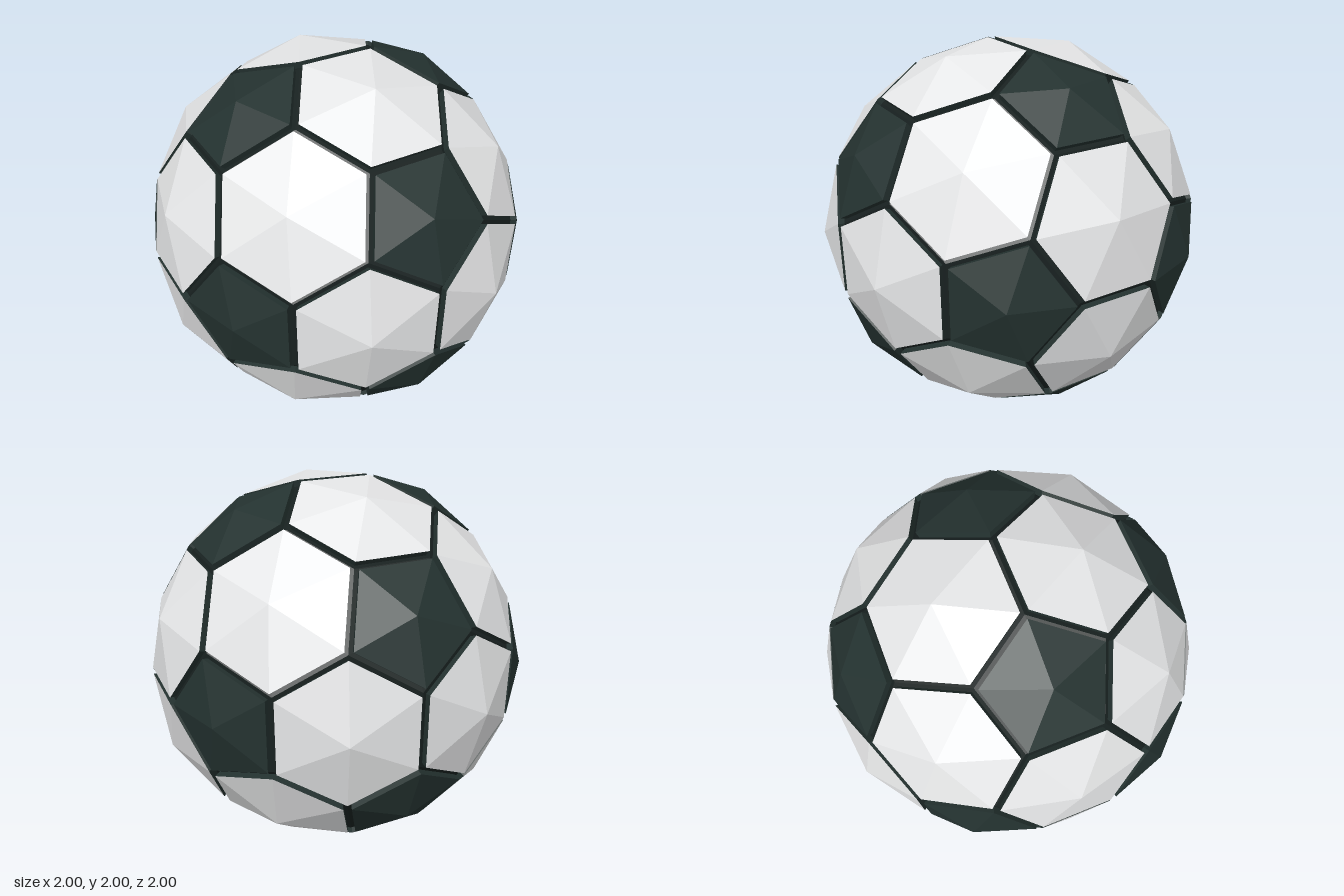
import * as THREE from 'three';

const GAP = 0.022;                    // half the seam width
const EDGE = 1 + GAP * 0.357;         // distance of the seam lines from the centre
const APEX = 1.043;                   // panel centres bulge out to this radius
const PHI = (1 + Math.sqrt(5)) / 2;

// The twelve icosahedron corners, which become the pentagon centres
function icosaCorners() {
  const s = EDGE / PHI, list = [];
  for (const a of [-s, s]) for (const b of [-EDGE, EDGE]) {
    list.push(new THREE.Vector3(0, a, b), new THREE.Vector3(a, b, 0), new THREE.Vector3(b, 0, a));
  }
  return list;
}

// Sort corners counter-clockwise as seen from outside
function ring(points) {
  const centre = points.reduce((c, p) => c.add(p), new THREE.Vector3()).divideScalar(points.length);
  const n = centre.clone().normalize();
  const u = points[0].clone().sub(centre).normalize();
  const v = n.clone().cross(u);
  const angle = p => { const d = p.clone().sub(centre); return Math.atan2(d.dot(v), d.dot(u)); };
  return { centre, n, corners: [...points].sort((p, q) => angle(p) - angle(q)) };
}

// Truncated icosahedron: pentagons at the corners, hexagons on the faces
function makePanels() {
  const V = icosaCorners();
  const side = 2 * EDGE / PHI;
  const near = (a, b) => Math.abs(a.distanceTo(b) - side) < 0.01;
  const third = (a, b) => a.clone().lerp(b, 1 / 3);
  const pentagons = V.map(a => ring(V.filter(b => near(a, b)).map(b => third(a, b))));
  const hexagons = [];
  for (let i = 0; i < 12; i++) for (let j = i + 1; j < 12; j++) for (let k = j + 1; k < 12; k++) {
    const [a, b, c] = [V[i], V[j], V[k]];
    if (near(a, b) && near(b, c) && near(a, c)) {
      hexagons.push(ring([third(a, b), third(b, a), third(b, c), third(c, b), third(c, a), third(a, c)]));
    }
  }
  return { pentagons, hexagons };
}

// Panel outline pulled in from the seam lines
function inset({ centre, corners }) {
  const apothem = corners[0].clone().lerp(corners[1], 0.5).distanceTo(centre);
  return corners.map(p => p.clone().lerp(centre, GAP / apothem));
}

function fan(out, corners, tip) {
  corners.forEach((p, i) => out.push(p, corners[(i + 1) % corners.length], tip));
}

function flatMesh(name, points, material) {
  const g = new THREE.BufferGeometry().setFromPoints(points);
  g.computeVertexNormals();
  const mesh = new THREE.Mesh(g, material);
  mesh.name = name;
  return mesh;
}

export function createModel() {
  const mat = (name, color) => {
    const m = new THREE.MeshStandardMaterial({ color });
    m.name = name;
    return m;
  };
  const white = mat('white', 0xe6e7e8);
  const dark = mat('dark green', 0x243230);
  const seam = mat('seam black', 0x182120);

  const { pentagons, hexagons } = makePanels();
  const whiteTris = [], darkTris = [], wallTris = [], coreTris = [];

  // Shallow pyramids for the panels
  for (const [panels, out] of [[hexagons, whiteTris], [pentagons, darkTris]]) {
    for (const panel of panels) {
      const rim = inset(panel);
      fan(out, rim, panel.n.clone().multiplyScalar(APEX));
      // Side walls running down into the seam
      rim.forEach((p, i) => {
        const q = rim[(i + 1) % rim.length];
        const p2 = p.clone().multiplyScalar(0.95), q2 = q.clone().multiplyScalar(0.95);
        wallTris.push(p2, q2, q, p2, q, p);
      });
      // Inner core closing the bottom of the seams
      fan(coreTris, panel.corners.map(c => c.clone().multiplyScalar(0.965)),
        panel.centre.clone().multiplyScalar(0.965));
    }
  }

  const ball = new THREE.Group();
  ball.name = 'ball';
  ball.add(
    flatMesh('whitePanels', whiteTris, white),
    flatMesh('darkPanels', darkTris, dark),
    flatMesh('panelWalls', wallTris, dark),
    flatMesh('seamCore', coreTris, seam)
  );
  ball.position.y = 1;
  const model = new THREE.Group();
  model.name = 'football';
  model.add(ball);
  return model;
}
